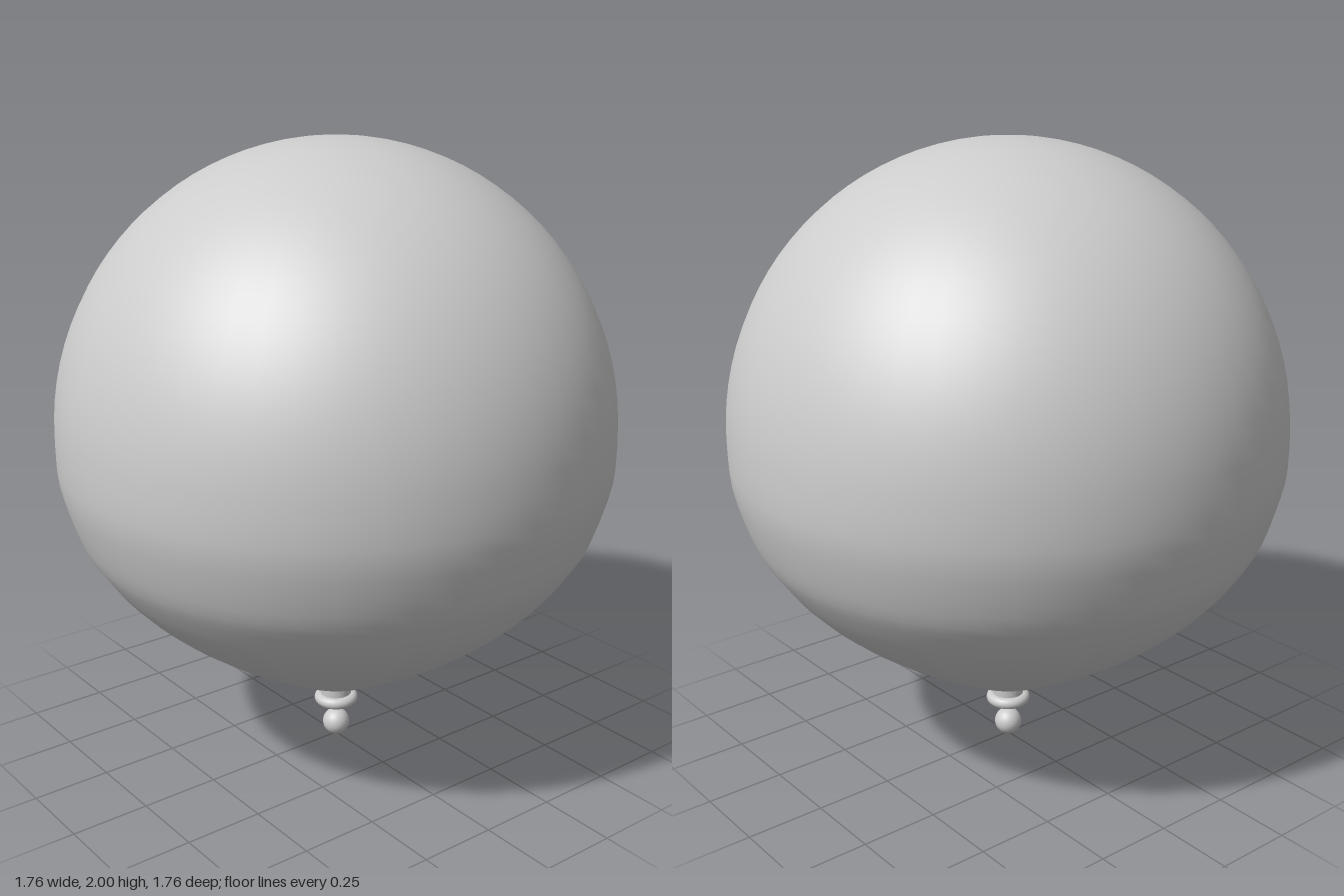
import * as THREE from 'three';

export function createModel() {
  const model = new THREE.Group();
  model.name = 'balloon';
  const rubber = new THREE.MeshStandardMaterial({ color: 0xcccccc });
  rubber.name = 'light grey rubber';

  const add = (name, geometry, y = 0) => {
    const mesh = new THREE.Mesh(geometry, rubber);
    mesh.name = name;
    mesh.position.y = y;
    model.add(mesh);
    return mesh;
  };

  // Envelope: tapered lower curve, then an almost round dome
  const lower = new THREE.SplineCurve([
    [0.05, 0.2], [0.15, 0.235], [0.27, 0.3], [0.435, 0.4], [0.575, 0.5],
    [0.685, 0.6], [0.765, 0.7], [0.823, 0.8], [0.873, 0.97], [0.88, 1.1],
  ].map(([x, y]) => new THREE.Vector2(x, y)));
  const profile = lower.getPoints(28);
  const domeSteps = 24;
  for (let i = 1; i <= domeSteps; i++) {
    const a = (i / domeSteps) * Math.PI / 2;
    profile.push(new THREE.Vector2(i === domeSteps ? 0 : 0.88 * Math.cos(a), 1.1 + 0.9 * Math.sin(a)));
  }
  add('envelope', new THREE.LatheGeometry(profile, 48));

  // Neck, rolled lip and knot bead
  add('neck', new THREE.CylinderGeometry(0.053, 0.05, 0.08, 32), 0.172);
  add('lip', new THREE.TorusGeometry(0.054, 0.019, 16, 40), 0.137).rotation.x = Math.PI / 2;
  add('knotBead', new THREE.SphereGeometry(0.045, 24, 16), 0.045);

  return model;
}
